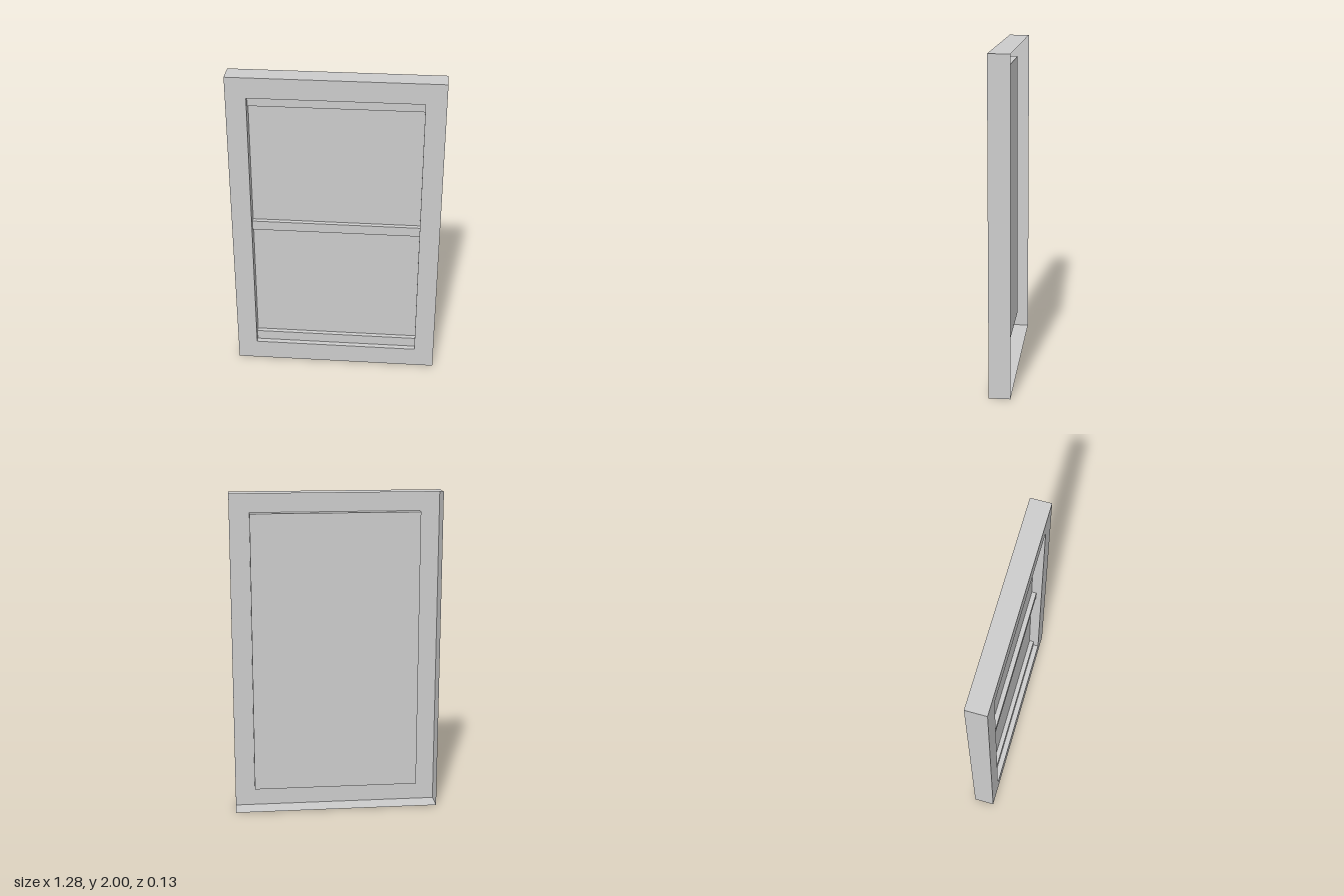
import * as THREE from 'three';

const W = 1.277, H = 2;              // outer frame
const OW = 1.032, OH = 1.746;        // window opening
const FRONT = 0.0635, BACK = -0.0635, GLASS = 0, BAR_FRONT = 0.03;
const CY = H / 2;

export function createModel() {
  const model = new THREE.Group();
  const material = new THREE.MeshStandardMaterial({
    color: 0xcccccc, flatShading: true, side: THREE.DoubleSide,
  });

  function add(parent, name, geometry, x, y, z) {
    const mesh = new THREE.Mesh(geometry, material);
    mesh.name = name;
    mesh.position.set(x, y, z);
    parent.add(mesh);
    return mesh;
  }

  // Four thin walls around a rectangle, open at front and back
  function sleeve(name, w, h, z0, z1) {
    const group = new THREE.Group();
    group.name = name;
    const depth = z1 - z0, z = (z0 + z1) / 2;
    for (const s of [-1, 1]) {
      const side = new THREE.PlaneGeometry(depth, h).rotateY(s * Math.PI / 2);
      add(group, s > 0 ? 'leftWall' : 'rightWall', side, s * w / 2, CY, z);
      const cap = new THREE.PlaneGeometry(w, depth).rotateX(-s * Math.PI / 2);
      add(group, s > 0 ? 'topWall' : 'bottomWall', cap, 0, CY + s * h / 2, z);
    }
    model.add(group);
  }

  const rectangle = (PathType, w, h) => new PathType([
    new THREE.Vector2(-w / 2, -h / 2), new THREE.Vector2(w / 2, -h / 2),
    new THREE.Vector2(w / 2, h / 2), new THREE.Vector2(-w / 2, h / 2),
  ]);

  // Flat frame face with the window opening cut out
  const face = rectangle(THREE.Shape, W, H);
  face.holes.push(rectangle(THREE.Path, OW, OH));
  add(model, 'frameFace', new THREE.ShapeGeometry(face), 0, CY, FRONT);

  // Outer casing, open at the back, and the shallower reveal of the opening
  sleeve('outerCasing', W, H, BACK, FRONT);
  sleeve('windowReveal', OW, OH, GLASS, FRONT);

  // Recessed pane
  add(model, 'pane', new THREE.PlaneGeometry(OW, OH), 0, CY, GLASS);

  // Horizontal rails in front of the pane: [name, bottom, top]
  const rails = [
    ['bottomRail', 0.127, 0.19],
    ['middleRail', 0.97, 1.03],
    ['topRail', 1.81, 1.873],
  ];
  for (const [name, y0, y1] of rails) {
    const bar = new THREE.BoxGeometry(OW, y1 - y0, BAR_FRONT - GLASS - 0.001);
    add(model, name, bar, 0, (y0 + y1) / 2, (BAR_FRONT + GLASS + 0.001) / 2);
  }

  return model;
}
